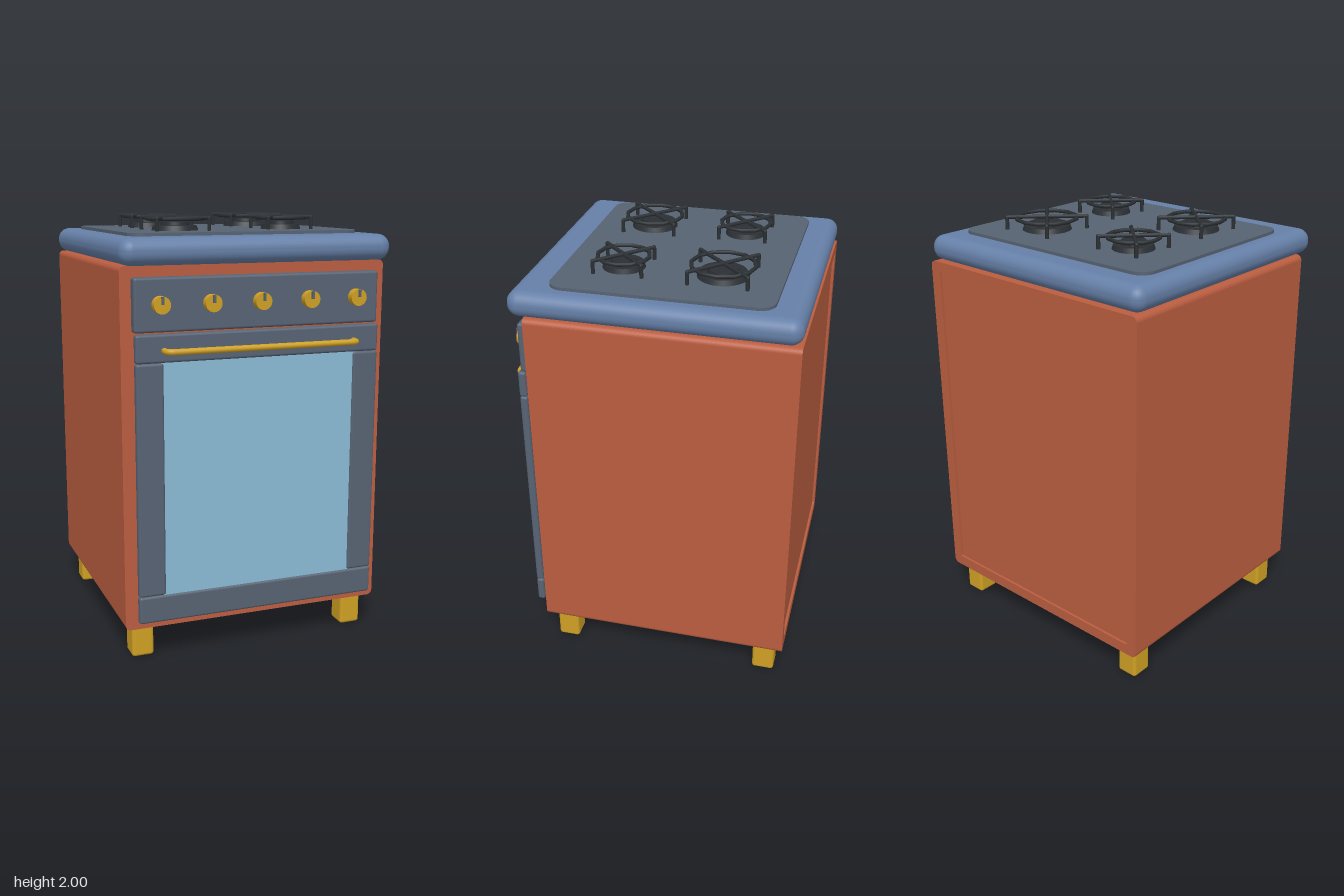
import * as THREE from 'three';
import { RoundedBoxGeometry } from 'three/addons/geometries/RoundedBoxGeometry.js';

const mat = (name, color) => {
  const m = new THREE.MeshStandardMaterial({ color });
  m.name = name;
  return m;
};

export function createModel() {
  const red = mat('terracotta enamel', 0xba5d40);
  const blue = mat('blue enamel', 0x6680a8);
  const slate = mat('slate', 0x576373);
  const glass = mat('window glass', 0x8abad4);
  const gold = mat('brass', 0xcfa024);
  const black = mat('cast iron', 0x2b3034);

  const model = new THREE.Group();
  model.name = 'stove';

  const add = (name, geo, material, x = 0, y = 0, z = 0, parent = model) => {
    const m = new THREE.Mesh(geo, material);
    m.name = name;
    m.position.set(x, y, z);
    parent.add(m);
    return m;
  };
  // rounded block given by its minimum and maximum on each axis
  const block = (name, material, x0, x1, y0, y1, z0, z1, r) =>
    add(name, new RoundedBoxGeometry(x1 - x0, y1 - y0, z1 - z0, 4, r), material,
      (x0 + x1) / 2, (y0 + y1) / 2, (z0 + z1) / 2);
  const roundedRect = (w, h, r) => {
    const x = w / 2, y = h / 2, s = new THREE.Shape();
    s.absarc(x - r, y - r, r, 0, Math.PI / 2);
    s.absarc(-x + r, y - r, r, Math.PI / 2, Math.PI);
    s.absarc(-x + r, -y + r, r, Math.PI, Math.PI * 1.5);
    s.absarc(x - r, -y + r, r, Math.PI * 1.5, Math.PI * 2);
    s.closePath();
    return s;
  };
  const extrude = (shape, depth) =>
    new THREE.ExtrudeGeometry(shape, { depth, bevelEnabled: false, curveSegments: 8 });

  // cabinet, with a shallow recessed panel framed on the back
  add('cabinet', extrude(roundedRect(1.258, 1.645, 0.025), 1.187), red, 0, 0.98, -0.651);
  const rim = roundedRect(1.258, 1.645, 0.025);
  rim.holes.push(roundedRect(1.15, 1.54, 0.005));
  add('backFrame', extrude(rim, 0.012), red, 0, 0.98, -0.663);

  // worktop and hob plate
  block('worktop', blue, -0.638, 0.638, 1.803, 1.92, -0.663, 0.61, 0.055);
  add('hobPlate', extrude(roundedRect(1.106, 0.98, 0.07), 0.02), slate, 0, 1.914, -0.04)
    .rotation.x = -Math.PI / 2;

  // feet
  for (const sx of [-1, 1]) {
    for (const z of [0.44, -0.567]) {
      block('foot', gold, sx * 0.536 - 0.052, sx * 0.536 + 0.052, 0, 0.165, z - 0.053, z + 0.053, 0.015);
    }
  }

  // control panel and oven door
  block('controlPanel', slate, -0.58, 0.58, 1.52, 1.755, 0.53, 0.584, 0.012);
  block('doorTopRail', slate, -0.58, 0.58, 1.39, 1.515, 0.563, 0.6, 0.012);
  block('doorBottomRail', slate, -0.58, 0.58, 0.205, 0.332, 0.563, 0.6, 0.012);
  for (const s of [-1, 1]) {
    block('doorStile', slate, s * 0.517 - 0.063, s * 0.517 + 0.063, 0.332, 1.39, 0.563, 0.6, 0.012);
  }
  add('ovenWindow', new THREE.BoxGeometry(0.93, 1.08, 0.022), glass, 0, 0.861, 0.582);

  // knobs with pointer marks
  for (let i = -2; i <= 2; i++) {
    const knob = new THREE.Group();
    knob.name = 'knob';
    knob.position.set(i * 0.2325, 1.64, 0.602);
    model.add(knob);
    add('knobBody', new THREE.CylinderGeometry(0.038, 0.038, 0.04, 24), gold, 0, 0, 0, knob)
      .rotation.x = Math.PI / 2;
    add('knobPointer', new THREE.BoxGeometry(0.011, 0.034, 0.018), slate, 0, 0.02, 0.022, knob);
  }

  // door handle
  const hx = 0.452, hz = 0.648, bend = 0.03;
  const path = new THREE.CurvePath();
  const v = (x, z) => new THREE.Vector3(x, 1.443, z);
  path.add(new THREE.LineCurve3(v(-hx, 0.592), v(-hx, hz - bend)));
  path.add(new THREE.QuadraticBezierCurve3(v(-hx, hz - bend), v(-hx, hz), v(-hx + bend, hz)));
  path.add(new THREE.LineCurve3(v(-hx + bend, hz), v(hx - bend, hz)));
  path.add(new THREE.QuadraticBezierCurve3(v(hx - bend, hz), v(hx, hz), v(hx, hz - bend)));
  path.add(new THREE.LineCurve3(v(hx, hz - bend), v(hx, 0.592)));
  add('doorHandle', new THREE.TubeGeometry(path, 160, 0.014, 12), gold);

  // burners with pan supports
  const burner = (x, z, r) => {
    const g = new THREE.Group();
    g.name = 'burner';
    g.position.set(x, 1.934, z);
    model.add(g);
    add('burnerBase', new THREE.CylinderGeometry(r * 0.7, r * 0.76, 0.022, 32), black, 0, 0.011, 0, g);
    add('burnerCap', new THREE.CylinderGeometry(r * 0.44, r * 0.46, 0.016, 32), black, 0, 0.03, 0, g);
    add('supportRing', new THREE.TorusGeometry(r - 0.009, 0.009, 8, 12), black, 0, 0.053, 0, g)
      .rotation.x = Math.PI / 2;
    const reach = r * 1.22;
    for (let k = 0; k < 4; k++) {
      const arm = new THREE.Group();
      arm.name = 'supportArm';
      arm.rotation.y = Math.PI / 4 + k * Math.PI / 2;
      g.add(arm);
      add('armBar', new THREE.CylinderGeometry(0.009, 0.009, reach, 8), black, reach / 2, 0.057, 0, arm)
        .rotation.z = Math.PI / 2;
      add('armElbow', new THREE.SphereGeometry(0.009, 8, 6), black, reach, 0.057, 0, arm);
      add('armLeg', new THREE.CylinderGeometry(0.009, 0.009, 0.057, 8), black, reach, 0.0285, 0, arm);
    }
  };
  burner(-0.265, -0.26, 0.126);
  burner(0.265, -0.26, 0.151);
  burner(-0.265, 0.185, 0.143);
  burner(0.265, 0.185, 0.126);

  return model;
}
